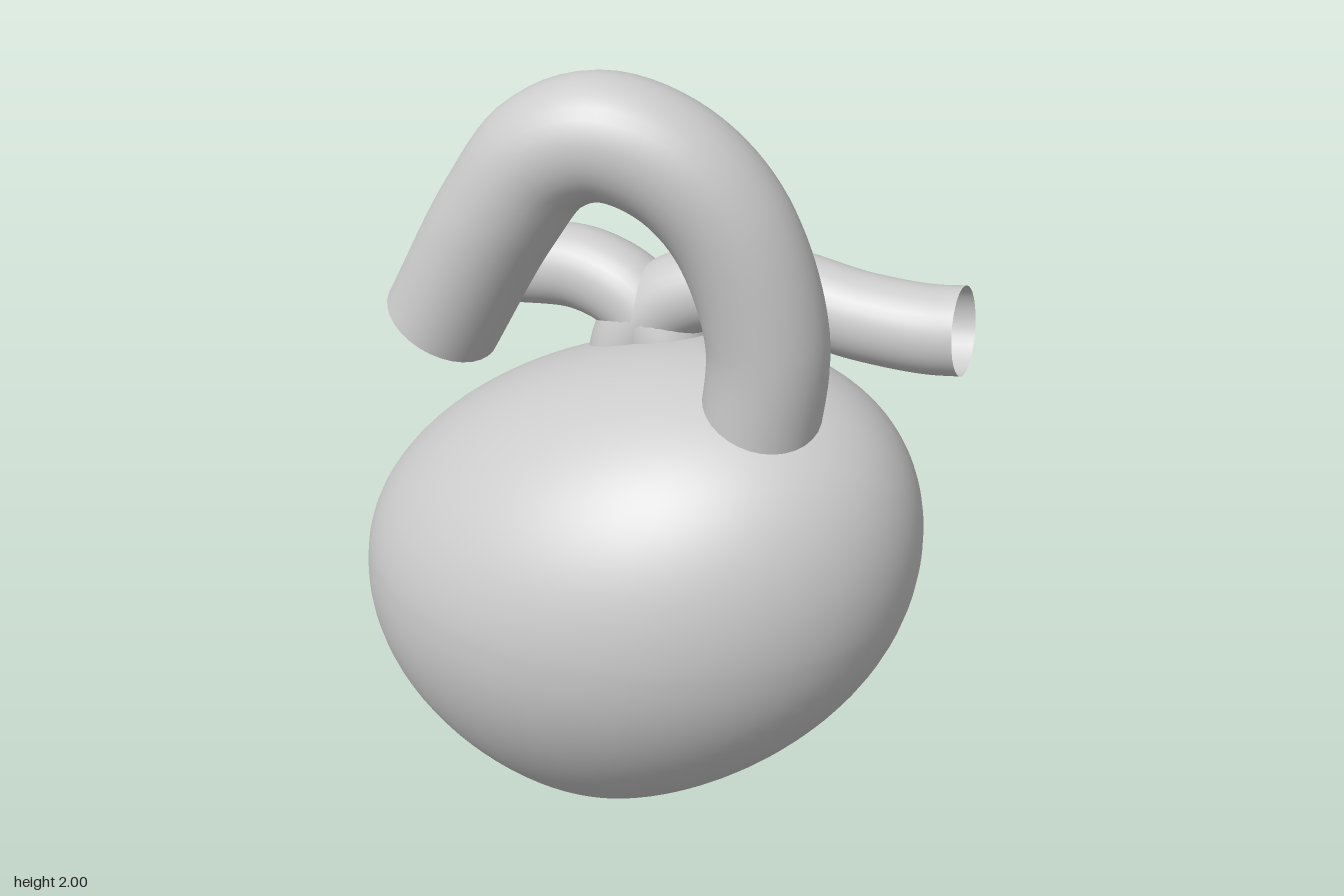
import * as THREE from 'three';

const material = new THREE.MeshStandardMaterial({ color: 0xcccccc });
const openMaterial = new THREE.MeshStandardMaterial({ color: 0xcccccc, side: THREE.DoubleSide });

const WAIST = 0.8, CROWN = 0.53, HALF_WIDTH = 0.665, DEPTH_RATIO = 0.826;

// Height and half width along the body: s from 0 (tip) to 1 (waist) to 2 (crown).
function bodyProfile(s) {
  if (s <= 1) {
    const u = s * s;
    return [WAIST * u, HALF_WIDTH * Math.sin(u * Math.PI / 2) ** 0.75];
  }
  const a = (s - 1) * Math.PI / 2;
  return [WAIST + CROWN * Math.sin(a), s === 2 ? 0 : HALF_WIDTH * Math.cos(a)];
}

// Leaning heart body: elliptical cross-sections stacked from tip to crown.
function heartBody() {
  const rings = 80, sides = 80;
  const positions = [], indices = [];
  for (let i = 0; i <= rings; i++) {
    const [y, half] = bodyProfile((2 * i) / rings);
    const cx = -0.165 + 0.18 * y + 0.35 * Math.max(0, y - WAIST) ** 2;
    const cz = -0.065 * Math.max(0, 1 - y / WAIST) ** 2;
    for (let j = 0; j < sides; j++) {
      const a = (j / sides) * Math.PI * 2;
      positions.push(cx + half * Math.cos(a), y, cz + DEPTH_RATIO * half * Math.sin(a));
    }
  }
  for (let i = 0; i < rings; i++) {
    for (let j = 0; j < sides; j++) {
      const a = i * sides + j, b = i * sides + (j + 1) % sides;
      const c = a + sides, d = b + sides;
      if (i < rings - 1) indices.push(a, c, d);
      if (i > 0) indices.push(a, d, b);
    }
  }
  const geometry = new THREE.BufferGeometry();
  geometry.setAttribute('position', new THREE.Float32BufferAttribute(positions, 3));
  geometry.setIndex(indices);
  geometry.computeVertexNormals();
  // normals at tip and crown point straight along the axis
  const normal = geometry.attributes.normal;
  for (let j = 0; j < sides; j++) {
    normal.setXYZ(j, 0, -1, 0);
    normal.setXYZ(rings * sides + j, 0, 1, 0);
  }
  return geometry;
}

// Open-ended vessel swept along a smooth path.
function vessel(name, points, radius) {
  const path = new THREE.CatmullRomCurve3(points.map((p) => new THREE.Vector3(...p)));
  const mesh = new THREE.Mesh(new THREE.TubeGeometry(path, 64, radius, 32), openMaterial);
  mesh.name = name;
  return mesh;
}

export function createModel() {
  const group = new THREE.Group();
  group.name = 'heart';

  const body = new THREE.Mesh(heartBody(), material);
  body.name = 'heartBody';
  group.add(body);

  // large arching artery
  group.add(vessel('aorticArch', [
    [0.31, 1.2, 0.11], [0.33, 1.45, 0.125], [0.255, 1.7, 0.16], [0.14, 1.825, 0.192],
    [0, 1.87, 0.218], [-0.12, 1.825, 0.232], [-0.225, 1.69, 0.235], [-0.39, 1.41, 0.218],
  ], 0.13));

  // two branches that cross at the root and spread sideways behind the arch
  group.add(vessel('leftPulmonaryArtery', [
    [-0.11, 1.18, -0.135], [-0.08, 1.3, -0.142], [0.01, 1.39, -0.155], [0.18, 1.442, -0.168],
    [0.45, 1.412, -0.16], [0.6, 1.409, -0.156], [0.677, 1.418, -0.155],
  ], 0.098));
  group.add(vessel('rightPulmonaryArtery', [
    [0.02, 1.18, -0.135], [-0.02, 1.29, -0.142], [-0.1, 1.375, -0.152], [-0.23, 1.418, -0.162],
    [-0.42, 1.41, -0.156], [-0.5, 1.411, -0.155], [-0.555, 1.42, -0.155],
  ], 0.098));

  return group;
}
